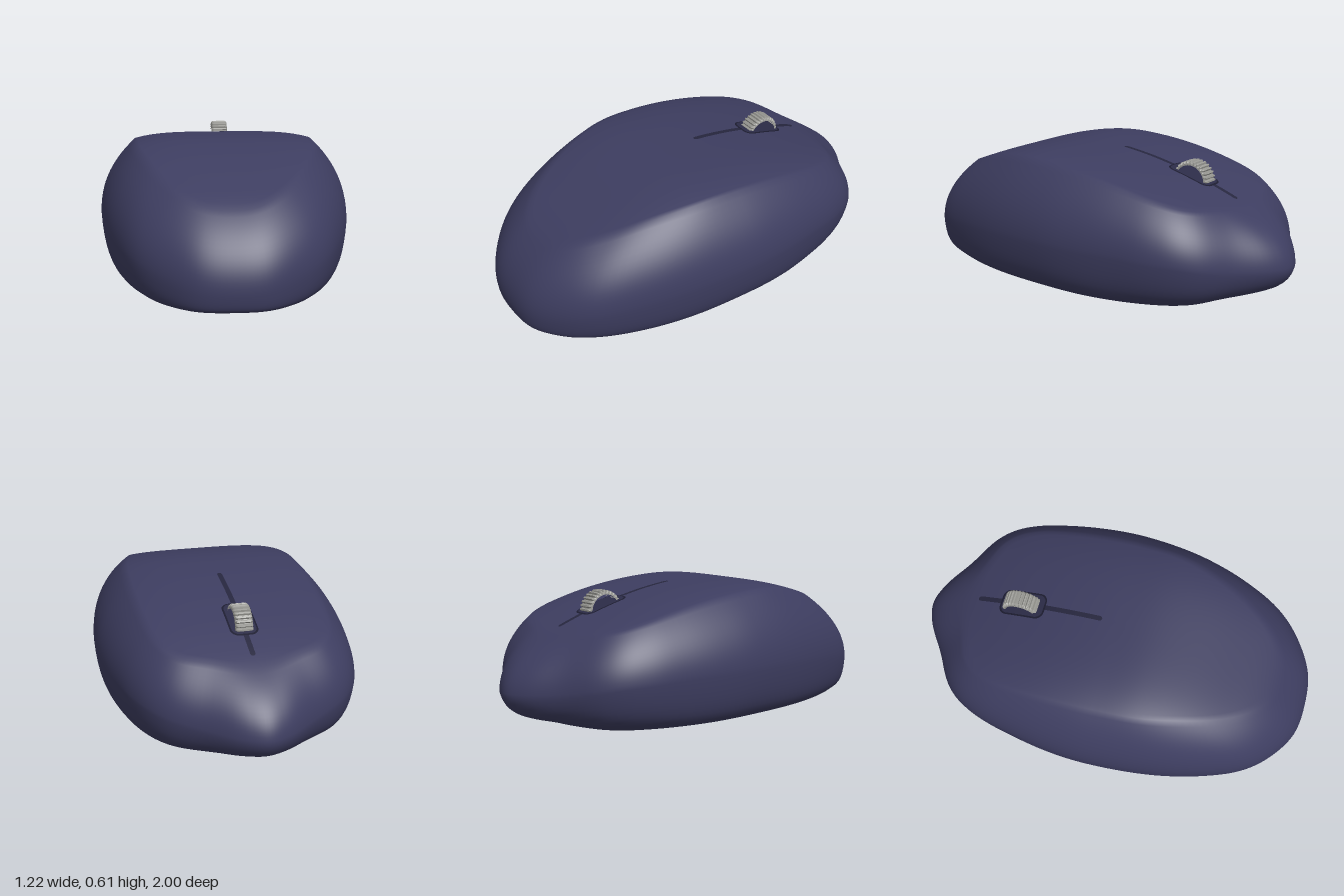
import * as THREE from 'three';

// Half outline stations from rear to nose: widest line x, y, z, then top rim x, z, then base x, z
const STATIONS = [
  [0, .10, 1, 0, .82, 0, .98], [.16, .11, .98, .12, .80, .155, .96], [.31, .14, .89, .22, .72, .29, .865],
  [.42, .17, .77, .31, .58, .38, .74], [.51, .20, .57, .38, .40, .46, .55], [.575, .22, .32, .425, .22, .515, .31],
  [.608, .23, 0, .44, 0, .535, 0], [.60, .23, -.20, .44, -.20, .53, -.20], [.57, .23, -.40, .43, -.38, .50, -.37],
  [.53, .22, -.57, .41, -.52, .45, -.52], [.475, .21, -.69, .37, -.62, .39, -.63],
  [.40, .19, -.775, .31, -.68, .32, -.70], [.25, .16, -.87, .19, -.73, .19, -.76],
  [.10, .145, -.97, .08, -.765, .08, -.79], [0, .14, -1, 0, -.77, 0, -.80],
];

// Height of the top shell: spine along z, falling off gently to the sides
const spine = new THREE.SplineCurve(
  [.25, .388, .472, .532, .575, .60, .605, .572, .508, .422, .28].map((y, i) => new THREE.Vector2(-1 + i * .2, y)));
const topHeight = (x, z) => spine.getPoint((z + 1) / 2).y - .03 * (x / .44) ** 4;

function closedOutline(pick) {
  const right = STATIONS.map(pick);
  const left = right.slice(1, -1).reverse().map(p => new THREE.Vector3(-p.x, p.y, p.z));
  return new THREE.CatmullRomCurve3([...right, ...left], true);
}

// Quadratic blend between two points; bulge is the share of the way out and up at the control point
function bend(a, b, outward, upward, t) {
  const c = new THREE.Vector3(
    THREE.MathUtils.lerp(a.x, b.x, outward),
    THREE.MathUtils.lerp(a.y, b.y, upward),
    THREE.MathUtils.lerp(a.z, b.z, outward));
  return new THREE.QuadraticBezierCurve3(a, c, b).getPoint(t);
}

// Shell: closed rings running from the base centre, up the sides and over the top
function shellGeometry() {
  const around = 168, lower = 8, upper = 14, cap = 22;
  const widest = closedOutline(s => new THREE.Vector3(s[0], s[1], s[2]));
  const rim = closedOutline(s => new THREE.Vector3(s[3], 0, s[4]));
  const base = closedOutline(s => new THREE.Vector3(s[5], .016, s[6]));
  const columns = [];
  for (let j = 0; j < around; j++) {
    const u = j / around;
    const m = widest.getPoint(u), r = rim.getPoint(u), b = base.getPoint(u);
    r.y = topHeight(r.x, r.z);
    const column = [];
    for (const [scale, y] of [[0, 0], [.5, 0], [.93, 0], [.955, .001], [.98, .005]])
      column.push(new THREE.Vector3(b.x * scale, y, b.z * scale));
    for (let i = 0; i < lower; i++) column.push(bend(b, m, .85, .15, i / lower));
    for (let i = 0; i < upper; i++) column.push(bend(m, r, 0, .53, i / upper));
    for (let i = 0; i <= cap; i++) {
      const k = 1 - i / cap;
      column.push(new THREE.Vector3(r.x * k, topHeight(r.x * k, r.z * k), r.z * k));
    }
    columns.push(column);
  }
  const rows = columns[0].length, positions = [], index = [];
  for (let i = 0; i < rows; i++) {
    for (let j = 0; j < around; j++) {
      positions.push(...columns[j][i].toArray());
      if (i === rows - 1) continue;
      const a = i * around + j, b = i * around + (j + 1) % around;
      index.push(a, b, b + around, a, b + around, a + around);
    }
  }
  const geometry = new THREE.BufferGeometry();
  geometry.setAttribute('position', new THREE.Float32BufferAttribute(positions, 3));
  geometry.setIndex(index);
  geometry.computeVertexNormals();
  return geometry;
}

// Round-ended strip that follows the top shell
function topStrip(z0, z1, halfWidth, radius, lift) {
  const geometry = new THREE.PlaneGeometry(2, 2, 4, 48).rotateX(-Math.PI / 2);
  const p = geometry.attributes.position, half = (z1 - z0) / 2;
  for (let i = 0; i < p.count; i++) {
    const dz = half * Math.sin(p.getZ(i) * Math.PI / 2);
    const inset = Math.max(0, radius - (half - Math.abs(dz)));
    const w = halfWidth - radius + Math.sqrt(Math.max(0, radius ** 2 - inset ** 2));
    const x = p.getX(i) * w, z = (z0 + z1) / 2 + dz;
    p.setXYZ(i, x, topHeight(x, z) + lift, z);
  }
  geometry.computeVertexNormals();
  return geometry;
}

// Ribbed wheel: a toothed disc with softened sides
function wheelGeometry(radius, width, teeth) {
  const shape = new THREE.Shape(), bevel = .012;
  for (let i = 0; i < teeth; i++) {
    [[0, -.008], [.2, 0], [.6, 0], [.8, -.008]].forEach(([f, d], k) => {
      const a = (i + f) / teeth * Math.PI * 2, r = radius + d;
      shape[i + k ? 'lineTo' : 'moveTo'](Math.cos(a) * r, Math.sin(a) * r);
    });
  }
  shape.closePath();
  return new THREE.ExtrudeGeometry(shape, {
    depth: width - 2 * bevel, bevelThickness: bevel, bevelSize: bevel, bevelOffset: -bevel, bevelSegments: 3,
  }).translate(0, 0, bevel - width / 2).rotateY(Math.PI / 2);
}

export function createModel() {
  const model = new THREE.Group();
  model.name = 'computerMouse';
  const add = (name, geometry, color) => {
    const mesh = new THREE.Mesh(geometry, new THREE.MeshStandardMaterial({ color }));
    mesh.name = name;
    model.add(mesh);
    return mesh;
  };
  add('shell', shellGeometry(), 0x3d3d60);

  // Seam between the buttons and the rounded well around the wheel
  add('buttonSeam', topStrip(-.71, -.07, .012, .012, .002), 0x26263e);
  add('wheelWellEdge', topStrip(-.587, -.358, .066, .04, .003), 0x1c1c30);
  add('wheelWell', topStrip(-.579, -.366, .058, .034, .0045), 0x2c2c48);

  const wheel = add('scrollWheel', wheelGeometry(.096, .084, 30), 0x999994);
  wheel.position.set(0, .488, -.475);
  return model;
}
